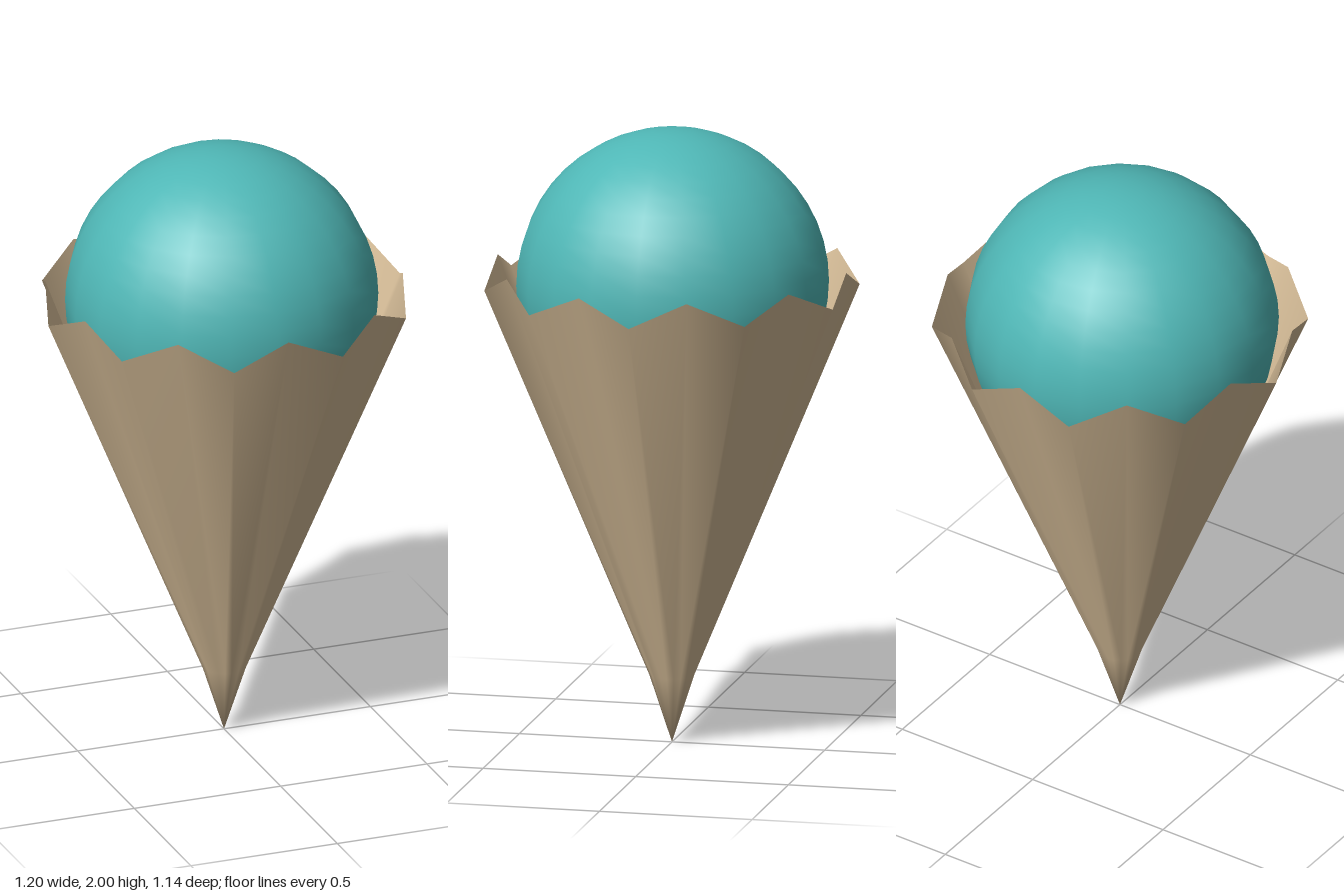
import * as THREE from 'three';

const SIDES = 20; // ten flat sides, each split at its middle for the zigzag rim

// One open cone wall: zigzag rim, narrow collar, pointed tip
function wallGeometry(tipY) {
  const positions = [];
  const index = [];
  for (let i = 0; i < SIDES; i++) {
    const angle = (i / SIDES) * Math.PI * 2;
    const peak = i % 2 === 1;
    const flat = peak ? Math.cos(Math.PI / 10) : 1; // keeps the rim a decagon
    const rings = [
      [0.6 * flat, peak ? 1.565 : 1.487],
      [0.072 * flat, 0.22],
    ];
    for (const [r, y] of rings) positions.push(Math.cos(angle) * r, y, Math.sin(angle) * r);
  }
  const tip = SIDES * 2;
  positions.push(0, tipY, 0);
  for (let i = 0; i < SIDES; i++) {
    const a = i * 2;
    const b = ((i + 1) % SIDES) * 2;
    index.push(a, b, a + 1, b, b + 1, a + 1, a + 1, b + 1, tip);
  }
  const geometry = new THREE.BufferGeometry();
  geometry.setAttribute('position', new THREE.Float32BufferAttribute(positions, 3));
  geometry.setIndex(index);
  geometry.computeVertexNormals();
  return geometry;
}

export function createModel() {
  const model = new THREE.Group();
  model.name = 'iceCreamCone';

  const wafer = new THREE.MeshStandardMaterial({ color: 0xd6bd98, side: THREE.DoubleSide });
  wafer.name = 'wafer';
  const iceCream = new THREE.MeshStandardMaterial({ color: 0x4fb7b6 });
  iceCream.name = 'teal ice cream';

  // Wafer cone, open at the top
  const cone = new THREE.Mesh(wallGeometry(0), wafer);
  cone.name = 'cone';
  model.add(cone);

  // Scoop, sitting a touch off centre
  const scoop = new THREE.Mesh(new THREE.SphereGeometry(0.5, 20, 24), iceCream);
  scoop.name = 'scoop';
  scoop.position.set(-0.008, 1.5, 0);
  model.add(scoop);

  return model;
}
